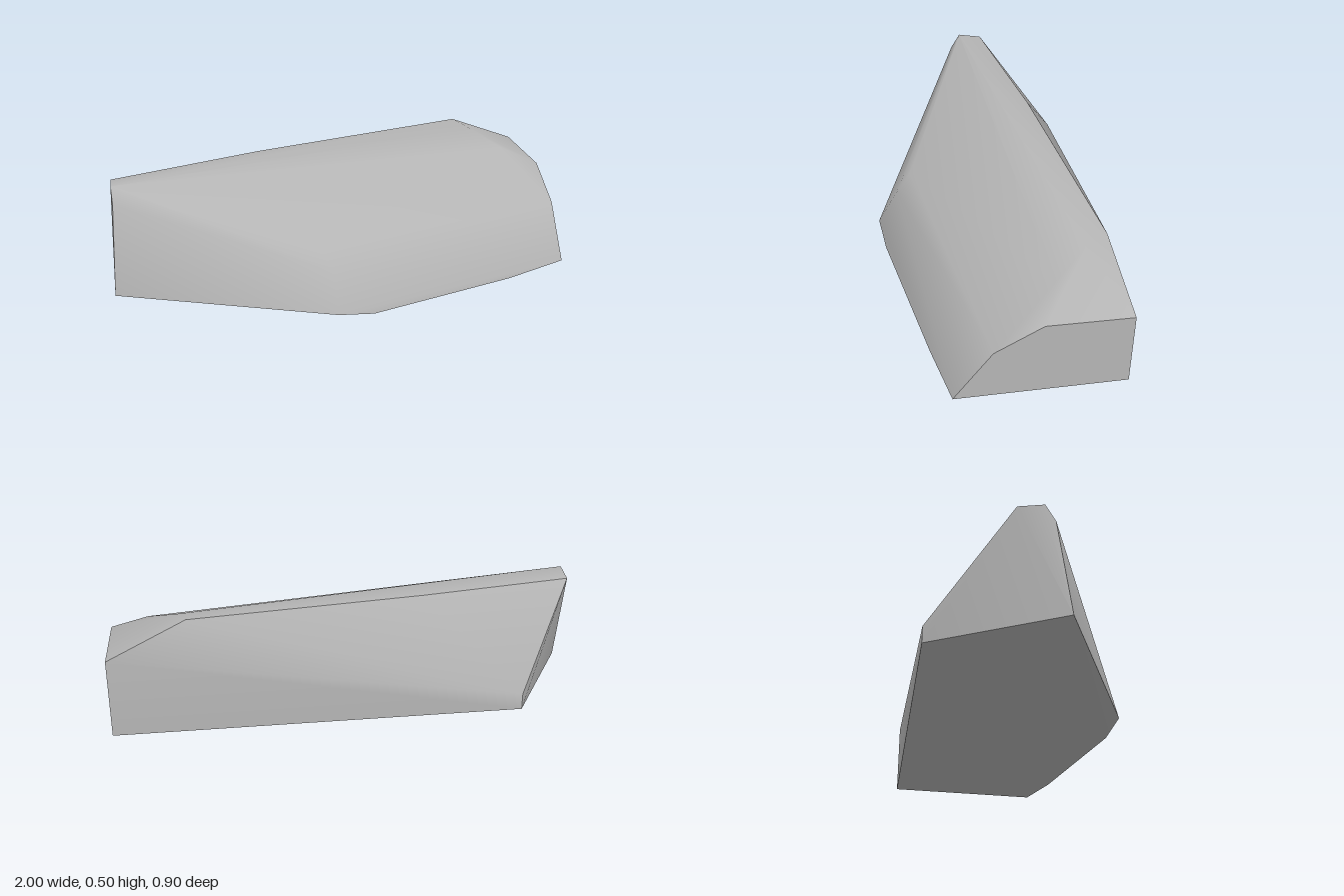
import * as THREE from 'three';
import { ConvexGeometry } from 'three/addons/geometries/ConvexGeometry.js';
import { toCreasedNormals } from 'three/addons/utils/BufferGeometryUtils.js';

export function createModel() {
  const model = new THREE.Group();
  model.name = 'rock';
  const stone = new THREE.MeshStandardMaterial({ color: 0xb4b4b4 });
  stone.name = 'grey stone';

  // Corner points of the boulder, grouped by region
  const corners = [
    // flat cut end
    [1, 0.03, -0.45], [1, 0.36, -0.45], [1, 0.36, -0.11], [1, 0.245, 0.08], [1, 0.02, 0.235],
    // bevel above the cut end
    [0.84, 0.43, -0.18], [0.73, 0.488, -0.31], [0.68, 0.503, -0.405],
    // back crest and top ridge
    [-0.3, 0.496, -0.265], [-0.965, 0.487, -0.135], [-0.97, 0.503, -0.03],
    // narrow end
    [-0.97, 0.435, 0.01], [-1, 0.03, 0.06],
    // back corner
    [-0.7, 0.1, -0.45], [-0.7, 0.03, -0.45],
    // front bulge
    [-0.15, 0.26, 0.295], [-0.11, 0.19, 0.36], [-0.11, 0.03, 0.45],
    // underside rim
    [0.05, 0, 0.43], [0.72, 0, 0.295]
  ].map((p) => new THREE.Vector3(...p));

  // Soft facets, with only the strong edges kept sharp
  const geometry = toCreasedNormals(new ConvexGeometry(corners), THREE.MathUtils.degToRad(40));
  const boulder = new THREE.Mesh(geometry, stone);
  boulder.name = 'boulder';
  model.add(boulder);
  return model;
}
